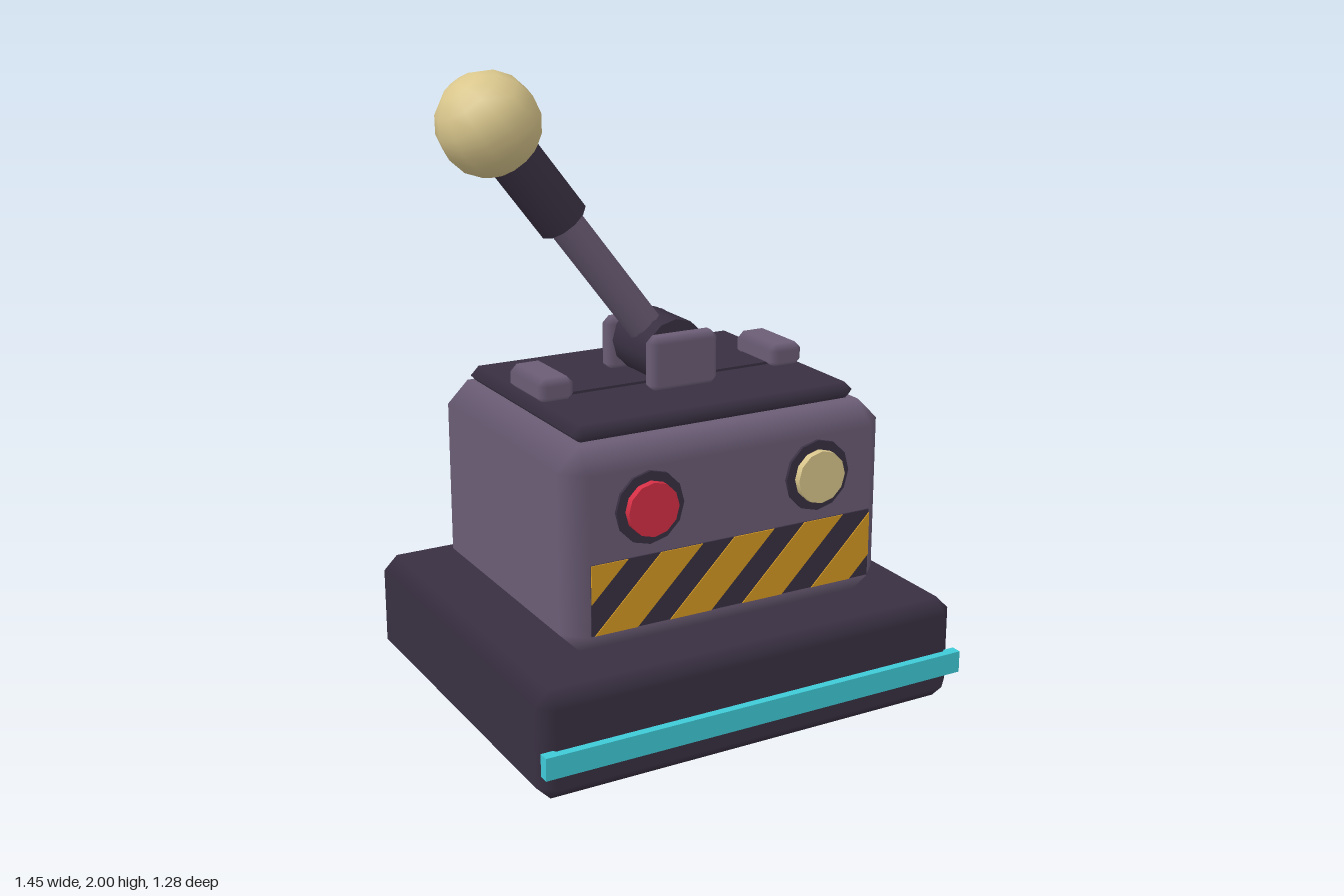
import * as THREE from 'three';
import { ConvexGeometry } from 'three/addons/geometries/ConvexGeometry.js';

const mat = (name, color) => {
  const m = new THREE.MeshStandardMaterial({ color });
  m.name = name;
  return m;
};

// Box with a single chamfer; flat faces, chamfers shaded smoothly between them
function chamferBox(w, h, d, c) {
  const half = [w / 2, h / 2, d / 2], pts = [];
  for (const sx of [-1, 1]) for (const sy of [-1, 1]) for (const sz of [-1, 1])
    for (let axis = 0; axis < 3; axis++) {
      const s = [sx, sy, sz];
      pts.push(new THREE.Vector3(...half.map((v, i) => s[i] * (i === axis ? v : v - c))));
    }
  const geo = new ConvexGeometry(pts);
  const p = geo.attributes.position, n = geo.attributes.normal;
  for (let i = 0; i < p.count; i++) {
    const v = [p.getX(i), p.getY(i), p.getZ(i)];
    n.setXYZ(i, ...v.map((q, k) => (Math.abs(q) > half[k] - c / 2 ? Math.sign(q) : 0)));
  }
  return geo;
}

// Keep the part of a polygon where sign * x <= sign * limit
function clipX(poly, limit, sign) {
  const out = [], inside = (p) => sign * p[0] <= sign * limit;
  poly.forEach((a, i) => {
    const b = poly[(i + 1) % poly.length];
    if (inside(a)) out.push(a);
    if (inside(a) !== inside(b)) {
      const t = (limit - a[0]) / (b[0] - a[0]);
      out.push([limit, a[1] + t * (b[1] - a[1])]);
    }
  });
  return out;
}

export function createModel() {
  const root = new THREE.Group();
  root.name = 'leverControl';
  const mauve = mat('mauve metal', 0x6b5d76);
  const dark = mat('dark metal', 0x393042);
  const cream = mat('cream', 0xd9c68c);
  const red = mat('red', 0xd62f45);
  const amber = mat('amber', 0xd69a22);
  const cyan = mat('cyan', 0x3ecbd7);
  const zc = -0.0125;

  const add = (name, geo, material, x, y, z, parent = root) => {
    const m = new THREE.Mesh(geo, material);
    m.name = name;
    m.position.set(x, y, z);
    parent.add(m);
    return m;
  };

  // Plinth, housing and lid
  add('base', chamferBox(1.45, 0.34, 1.256, 0.046), dark, 0, 0.17, zc);
  add('lightStrip', new THREE.BoxGeometry(1.45, 0.07, 0.034), cyan, 0, 0.135, 0.624);
  add('housing', chamferBox(1.11, 0.635, 0.926, 0.07), mauve, 0, 0.655, -0.008);
  add('lid', chamferBox(0.97, 0.056, 0.774, 0.027), dark, 0, 0.994, zc);
  add('leverTrack', new THREE.BoxGeometry(0.9, 0.03, 0.146), dark, 0, 1.015, zc);

  // End stops and pivot brackets
  for (const s of [-1, 1]) {
    add('endStop', chamferBox(0.117, 0.08, 0.236, 0.022), mauve, s * 0.408, 1.052, zc);
    add('pivotBracket', chamferBox(0.235, 0.175, 0.066, 0.022), mauve, 0, 1.102, zc + s * 0.143);
  }
  const hub = new THREE.CylinderGeometry(0.105, 0.105, 0.22, 12).rotateX(Math.PI / 2);
  add('pivotHub', hub, dark, 0, 1.118, zc);

  // Tilted lever
  const lever = new THREE.Group();
  lever.name = 'lever';
  lever.position.set(0, 1.12, zc);
  lever.rotation.z = Math.atan2(0.56, 0.725);
  root.add(lever);
  add('leverRod', new THREE.CylinderGeometry(0.057, 0.057, 0.62, 12), mauve, 0, 0.31, 0, lever);
  add('leverGrip', new THREE.CylinderGeometry(0.082, 0.082, 0.29, 12), dark, 0, 0.68, 0, lever);
  add('leverKnob', new THREE.SphereGeometry(0.156, 12, 8), cream, 0, 0.916, 0, lever);

  // Push buttons
  const disc = (r, h) => new THREE.CylinderGeometry(r, r, h, 12).rotateX(Math.PI / 2);
  for (const [x, m] of [[-0.293, red], [0.287, cream]]) {
    add('buttonBezel', disc(0.112, 0.02), dark, x, 0.78, 0.455);
    add('button', disc(0.083, 0.04), m, x, 0.78, 0.468);
  }

  // Hazard panel with slanted stripes
  const halfW = 0.485, y0 = 0.415, y1 = 0.634;
  add('hazardPanel', new THREE.BoxGeometry(2 * halfW, y1 - y0, 0.008), dark, 0, (y0 + y1) / 2, 0.456);
  for (let i = -1; i < 4; i++) {
    const b = -0.475 + i * 0.25, t = b + 0.22, w = 0.14;
    let poly = [[b, y0], [b + w, y0], [t + w, y1], [t, y1]];
    poly = clipX(clipX(poly, halfW, 1), -halfW, -1);
    if (poly.length < 3) continue;
    const shape = new THREE.Shape(poly.map((p) => new THREE.Vector2(...p)));
    add('hazardStripe', new THREE.ExtrudeGeometry(shape, { depth: 0.004, bevelEnabled: false }), amber, 0, 0, 0.459);
  }
  return root;
}
